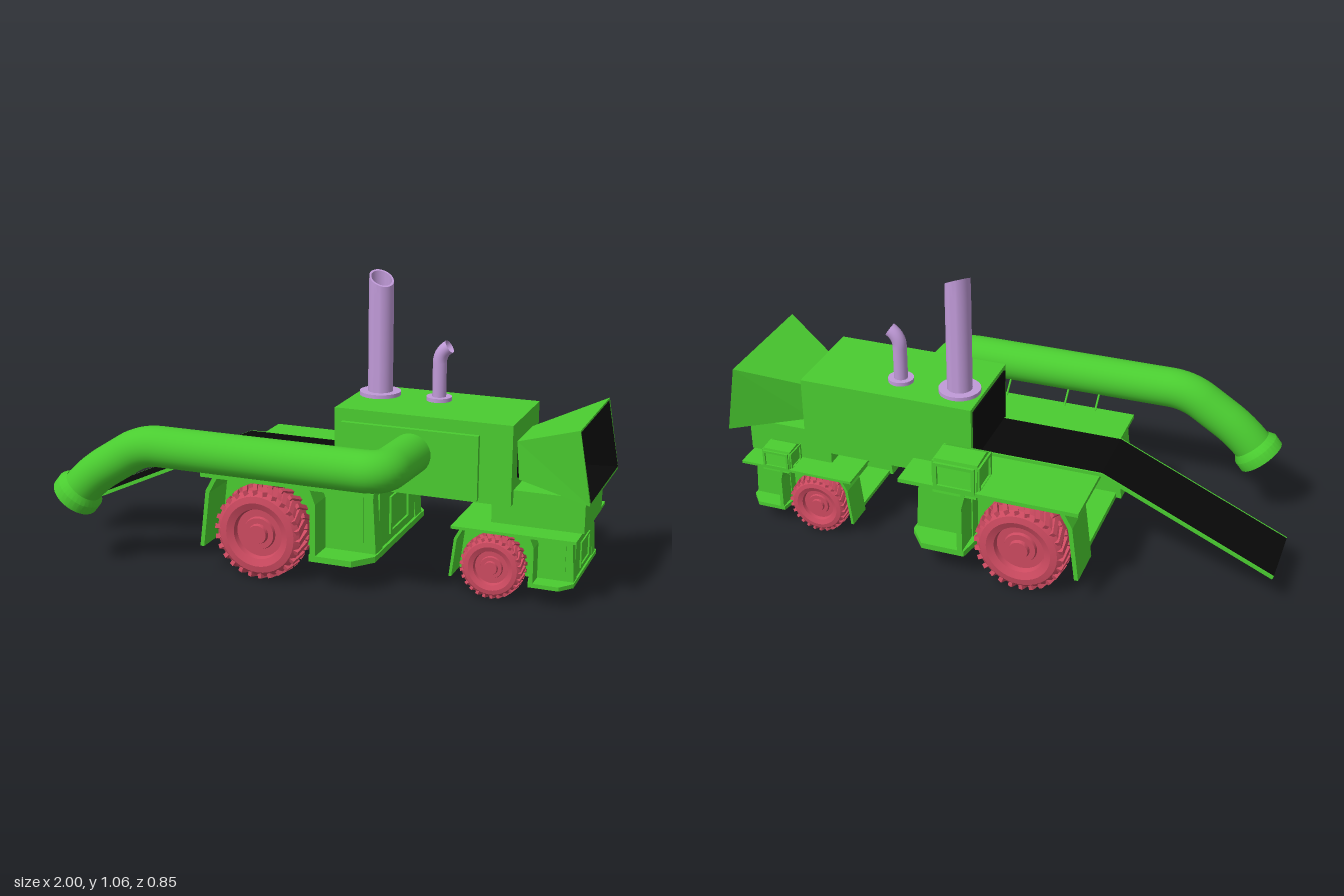
import * as THREE from 'three';
import { toCreasedNormals } from 'three/addons/utils/BufferGeometryUtils.js';

const paint = (color, side = THREE.FrontSide) => new THREE.MeshStandardMaterial({ color, side });
const GREEN = paint(0x4acc30), GREEN2 = paint(0x4acc30, THREE.DoubleSide);
const RED = paint(0xcc4a60), PURPLE = paint(0xc09ad8, THREE.DoubleSide);
const BLACK = paint(0x080808, THREE.DoubleSide);
const V = (x, y, z) => new THREE.Vector3(x, y, z);

function add(parent, name, geo, mat) {
  const mesh = new THREE.Mesh(geo, mat);
  mesh.name = name;
  parent.add(mesh);
  return mesh;
}

// Box given by its lower and upper corner
function box(parent, name, a, b, mat = GREEN) {
  const geo = new THREE.BoxGeometry(b[0] - a[0], b[1] - a[1], b[2] - a[2]);
  geo.translate((a[0] + b[0]) / 2, (a[1] + b[1]) / 2, (a[2] + b[2]) / 2);
  return add(parent, name, geo, mat);
}

// Outline in x/y extruded from z0 to z1
function slab(parent, name, pts, z0, z1, mat = GREEN) {
  const shape = new THREE.Shape(pts.map(p => new THREE.Vector2(...p)));
  const geo = new THREE.ExtrudeGeometry(shape, { depth: z1 - z0, bevelEnabled: false });
  return add(parent, name, geo.translate(0, 0, z0), mat);
}

// Flat frame of four bars around a w x h rectangle, facing +z
function frame(parent, name, w, h, t = 0.012) {
  const shape = new THREE.Shape([[-w, -h], [w, -h], [w, h], [-w, h]].map(p => new THREE.Vector2(p[0] / 2, p[1] / 2)));
  const a = w / 2 - t, b = h / 2 - t;
  shape.holes.push(new THREE.Path([[-a, -b], [-a, b], [a, b], [a, -b]].map(p => new THREE.Vector2(...p))));
  return add(parent, name, new THREE.ExtrudeGeometry(shape, { depth: 0.01, bevelEnabled: false }), GREEN);
}

// Polyline path with straight segments joined by rounded corners
function roundedPath(pts, r) {
  const path = new THREE.CurvePath();
  let from = pts[0];
  for (let i = 1; i < pts.length - 1; i++) {
    const p = pts[i];
    const a = p.clone().add(pts[i - 1].clone().sub(p).setLength(r));
    const b = p.clone().add(pts[i + 1].clone().sub(p).setLength(r));
    path.add(new THREE.LineCurve3(from, a));
    path.add(new THREE.QuadraticBezierCurve3(a, p, b));
    from = b;
  }
  path.add(new THREE.LineCurve3(from, pts[pts.length - 1]));
  return path;
}

// Lugged tyre with stepped hub, axle along z
function wheel(radius, width) {
  const g = new THREE.Group();
  g.name = 'wheel';
  const half = [[0, 0.46], [0.2, 0.46], [0.22, 0.36], [0.34, 0.36], [0.36, 0.28], [0.52, 0.28], [0.55, 0.42], [0.7, 0.5], [0.84, 0.47], [0.94, 0.36]];
  const pts = [...half.map(([r, y]) => [r, -y]), ...half.reverse()];
  const lathe = new THREE.LatheGeometry(pts.map(([r, y]) => new THREE.Vector2(r * radius, y * width)), 40);
  add(g, 'tyreAndHub', toCreasedNormals(lathe.rotateX(Math.PI / 2), 0.5), RED);
  const lug = new THREE.BoxGeometry(radius * 0.1, radius * 0.12, width * 0.48);
  const n = 26;
  for (let i = 0; i < n; i++) for (const s of [-1, 1]) {
    const a = (i + (s > 0 ? 0.5 : 0)) / n * Math.PI * 2;
    const holder = new THREE.Group();
    holder.rotation.z = a;
    const m = add(holder, 'treadLug', lug, RED);
    m.position.set(0, radius * 0.935, s * width * 0.22);
    m.rotation.set(s * 0.12, s * 0.4, 0);
    g.add(holder);
  }
  return g;
}

// Two-wheeled carriage; wheel axle at x = 0, centred on z = 0
function carriage(name) {
  const g = new THREE.Group();
  g.name = name;
  const top = 0.375, W = 0.345;
  // Central hull, deck and chamfered floor
  box(g, 'hull', [-0.06, 0.1, -0.2], [0.41, top, 0.2]);
  box(g, 'deck', [-0.215, top - 0.015, -W], [0.44, top, W]);
  const floor = slab(g, 'floor', [[-0.2, -0.2], [0.17, -0.2], [0.2, -W], [0.36, -W], [0.42, -0.27],
    [0.42, 0.27], [0.36, W], [0.2, W], [0.17, 0.2], [-0.2, 0.2]], 0, 0.022);
  floor.rotation.x = Math.PI / 2;
  floor.position.y = 0.122;
  const axle = add(g, 'axle', new THREE.CylinderGeometry(0.03, 0.03, 0.56, 16).rotateX(Math.PI / 2), RED);
  axle.position.y = 0.168;
  // End panel frame
  const panel = frame(g, 'endPanel', 0.2, 0.14);
  panel.rotation.y = Math.PI / 2;
  panel.position.set(0.408, 0.218, 0);

  const outer = [[-0.22, 0.1], [-0.195, 0.31], [-0.16, top], [0.2, top], [0.225, 0.31], [0.225, 0.11]];
  const inner = [[0.205, 0.11], [0.205, 0.3], [0.19, 0.36], [-0.15, 0.36], [-0.18, 0.305], [-0.205, 0.1]];
  for (const s of [-1, 1]) {
    const span = (a, b) => s > 0 ? [a, b] : [-b, -a];
    slab(g, 'fender', [...outer, ...inner].reverse(), ...span(0.2, W));
    slab(g, 'innerFenderWall', [...outer].reverse(), ...span(0.19, 0.2));
    // Sloping side compartment ahead of the fender
    slab(g, 'sideCompartment', [[0.2, 0.12], [0.415, 0.12], [0.4, top], [0.2, top]], ...span(0.18, 0.25));
    box(g, 'sidePanel', [0.24, 0.16, s * 0.25 - 0.005], [0.37, 0.33, s * 0.25 + 0.005]);
    const w = wheel(0.168, 0.135);
    w.position.set(0, 0.168, s * 0.275);
    w.rotation.y = s < 0 ? Math.PI : 0;
    g.add(w);
  }
  // Operator cab on the back side, with a sloped roof and framed window
  const cab = slab(g, 'cab', [[-0.345, 0.35], [-0.2, 0.35], [-0.2, 0.46], [-0.24, 0.48], [-0.325, 0.475]], -0.31, -0.15);
  cab.rotation.y = -Math.PI / 2;
  cab.geometry.computeVertexNormals();
  const win = frame(g, 'cabWindow', 0.15, 0.1);
  win.rotation.y = Math.PI;
  win.position.set(0.23, 0.42, -0.338);
  for (const s of [-1, 1]) {
    const side = frame(g, 'cabSideWindow', 0.12, 0.1);
    side.rotation.y = s * Math.PI / 2;
    side.position.set(0.23 + s * 0.078, 0.415, -0.268);
  }
  return g;
}

// Four-sided shell between two corner loops
function funnel(a, b) {
  const pos = [];
  for (let i = 0; i < 4; i++) {
    const j = (i + 1) % 4;
    for (const p of [a[i], a[j], b[j], a[i], b[j], b[i]]) pos.push(...p);
  }
  const geo = new THREE.BufferGeometry();
  geo.setAttribute('position', new THREE.Float32BufferAttribute(pos, 3));
  geo.computeVertexNormals();
  return geo;
}

export function createModel() {
  const model = new THREE.Group();
  model.name = 'harvester';

  const rear = carriage('largeCarriage');
  rear.position.set(-0.15, 0, -0.08);
  const fore = carriage('smallCarriage');
  fore.scale.setScalar(0.667);
  fore.position.set(0.665, 0, -0.1);
  model.add(rear, fore);

  // Main body, side panel and neck
  box(model, 'body', [0.07, 0.325, -0.283], [0.715, 0.61, 0.07]);
  box(model, 'bodySidePanel', [0.1, 0.335, 0.07], [0.6, 0.565, 0.088]);
  box(model, 'neck', [0.64, 0.25, -0.235], [0.965, 0.375, 0.04]);
  box(model, 'bodyOutlet', [0.064, 0.4, -0.265], [0.07, 0.595, 0.05], BLACK);

  // Intake hopper: green outside, black inside
  const narrow = (e) => [[0.715, 0.54 - e, -0.2 + e], [0.715, 0.54 - e, 0.01 - e], [0.725, 0.405 + e, 0.01 - e], [0.725, 0.405 + e, -0.2 + e]];
  const wide = (e) => [[0.955, 0.635 - e, -0.332 + e], [0.955, 0.635 - e, 0.13 - e], [0.998, 0.38 + e, 0.13 - e], [0.998, 0.38 + e, -0.332 + e]];
  add(model, 'hopper', funnel(narrow(0), wide(0)), GREEN2);
  add(model, 'hopperLining', funnel(narrow(0.008), wide(0.008)), BLACK);
  add(model, 'hopperRim', funnel(wide(0), wide(0.008)), GREEN2);
  box(model, 'hopperThroat', [0.716, 0.41, -0.195], [0.73, 0.535, 0.005], BLACK);

  // Discharge conveyor
  const belt = [[-1, 0.12], [-0.38, 0.405], [0.08, 0.405], [0.08, 0.393], [-0.375, 0.393], [-0.995, 0.108]].reverse();
  slab(model, 'conveyorBelt', belt, -0.2, 0.035, BLACK);
  for (const z of [-0.206, 0.035]) slab(model, 'conveyorEdge', belt, z, z + 0.006);

  // Blower spout with flared collar
  const end = V(-0.83, 0.26, 0.335), dir = V(-0.63, -0.78, 0).normalize();
  const spout = roundedPath([V(0.36, 0.477, 0.06), V(0.345, 0.477, 0.335), V(-0.55, 0.477, 0.335),
    V(-0.755, 0.345, 0.335), end], 0.07);
  add(model, 'spout', new THREE.TubeGeometry(spout, 120, 0.073, 32), GREEN2);
  const collar = new THREE.LatheGeometry([[0.073, -0.05], [0.09, -0.025], [0.09, 0.012], [0.078, 0.012], [0.073, -0.03]]
    .map(p => new THREE.Vector2(...p)), 32);
  const collarMesh = add(model, 'spoutCollar', toCreasedNormals(collar, 0.6), GREEN2);
  collarMesh.quaternion.setFromUnitVectors(V(0, 1, 0), dir);
  collarMesh.position.copy(end);

  // Thin struts from deck to spout
  for (const x of [-0.22, -0.1, 0.13])
    add(model, 'spoutStrut', new THREE.TubeGeometry(new THREE.LineCurve3(V(x, 0.37, 0.24), V(x, 0.425, 0.3)), 1, 0.004, 6), GREEN);

  // Tall stack with an obliquely cut mouth
  const stack = new THREE.LatheGeometry([[0.045, 0.61], [0.045, 0.98], [0.044, 1.035], [0.037, 1.035], [0.037, 0.62]]
    .map(p => new THREE.Vector2(...p)), 32);
  const pos = stack.attributes.position;
  for (let i = 0; i < pos.count; i++)
    if (pos.getY(i) > 1) pos.setY(i, pos.getY(i) - 0.4 * (pos.getX(i) + pos.getZ(i)));
  add(model, 'tallStack', toCreasedNormals(stack, 0.6), PURPLE).position.set(0.155, 0, -0.165);

  // Short curved stack
  const bend = roundedPath([V(0.378, 0.61, -0.165), V(0.378, 0.785, -0.165), V(0.413, 0.808, -0.165)], 0.038);
  add(model, 'shortStack', new THREE.TubeGeometry(bend, 40, 0.025, 24), PURPLE);
  for (const [x, r] of [[0.155, 0.075], [0.378, 0.046]])
    add(model, 'stackFlange', new THREE.CylinderGeometry(r, r, 0.016, 32), PURPLE).position.set(x, 0.616, -0.165);

  return model;
}
